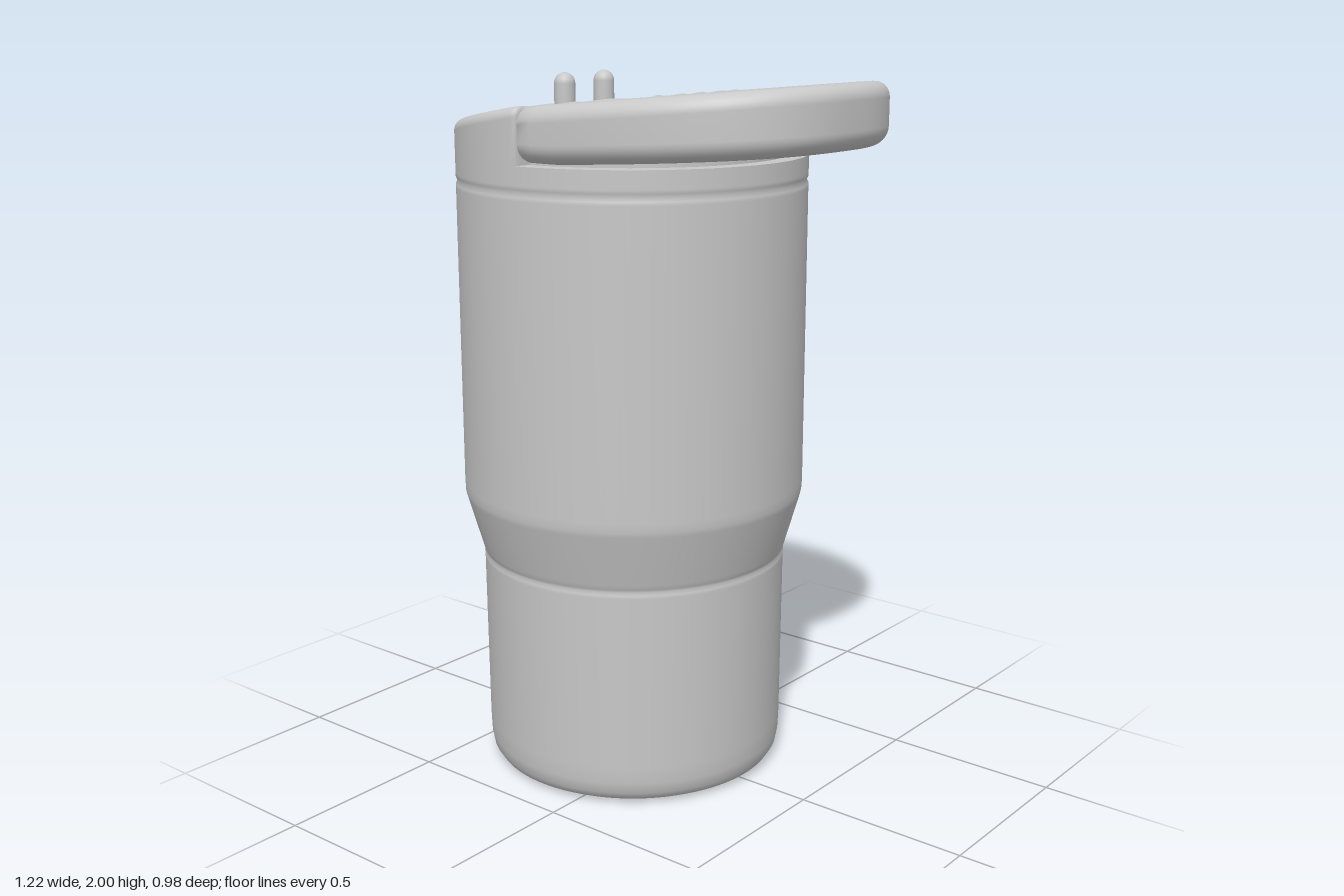
import * as THREE from 'three';

const AXIS = -0.12; // tumbler axis in x
const seamX = (z) => -0.07 - 0.03 * (z / 0.49) ** 2;
const smooth = THREE.MathUtils.smoothstep;

// Wood-like growth rings with a groove just inside the rim
function ripple(x, z, cx, cz, ox, rx, rz) {
  const rim = Math.hypot((x - ox) / rx, z / rz);
  const a = Math.atan2(z - cz, x - cx);
  const d = Math.hypot(x - cx, z - cz) + 0.008 * Math.sin(3 * a + 1) + 0.006 * Math.sin(5 * a);
  const groove = -0.008 * Math.exp(-(((rim - 0.87) / 0.025) ** 2));
  const fade = 1 - smooth(rim, 0.76, 0.86);
  return groove + fade * 0.004 * (Math.cos((d * Math.PI * 2) / 0.085) - 1);
}

// Cushion-like slab: outline loops from the underside centre, round the edge, to the top centre
function slab(outline, cx, { top, bottom, rTop, rBottom, recess = 0, openBottom = false }) {
  const n = outline.length, pos = [], idx = [];
  let loops = 0;
  const addLoop = (scale, inset, height) => {
    for (const [px, pz] of outline) {
      const dx = px - cx, len = Math.hypot(dx, pz);
      const k = Math.max(0, (1 - inset / len) * scale);
      const x = cx + dx * k, z = pz * k;
      pos.push(x, height(x, z), z);
    }
    loops++;
  };
  if (!openBottom) {
    for (let i = 0; i < 24; i++) {
      const s = Math.max(i / 24, 0.0005);
      addLoop(s, rBottom, (x, z) => bottom(x, z) + recess * (1 - smooth(s, 0.8, 0.92)));
    }
    for (let i = 0; i <= 8; i++) {
      const a = (i / 8) * Math.PI / 2;
      addLoop(1, rBottom * (1 - Math.sin(a)), (x, z) => bottom(x, z) + rBottom * (1 - Math.cos(a)));
    }
  } else {
    addLoop(1, 0, bottom);
  }
  for (let i = 0; i <= 8; i++) {
    const a = (i / 8) * Math.PI / 2;
    addLoop(1, rTop * (1 - Math.cos(a)), (x, z) => top(x, z) - rTop * (1 - Math.sin(a)));
  }
  for (let i = 59; i >= 0; i--) addLoop(Math.max(i / 60, 0.0005), rTop, top);
  for (let i = 0; i < loops - 1; i++) {
    for (let j = 0; j < n; j++) {
      const k = (j + 1) % n;
      const a = i * n + j, b = a + n, c = i * n + k, d = c + n;
      idx.push(a, b, c, c, b, d);
    }
  }
  const g = new THREE.BufferGeometry();
  g.setAttribute('position', new THREE.Float32BufferAttribute(pos, 3));
  g.setIndex(idx);
  g.computeVertexNormals();
  return g;
}

export function createModel() {
  const group = new THREE.Group();
  const grey = new THREE.MeshStandardMaterial({ color: 0xc8c8c8 });
  grey.name = 'light grey';
  const add = (name, geometry, x = 0, y = 0, z = 0) => {
    const m = new THREE.Mesh(geometry, grey);
    m.name = name;
    m.position.set(x, y, z);
    group.add(m);
    return m;
  };

  // Stepped body with a shallow foot recess and two fine grooves
  const profile = [
    [0, 0.02], [0.29, 0.02], [0.32, 0.016], [0.34, 0.003], [0.36, 0], [0.39, 0.004],
    [0.412, 0.016], [0.426, 0.038], [0.432, 0.07], [0.434, 0.12], [0.438, 0.62],
    [0.439, 0.63], [0.434, 0.638], [0.439, 0.647], [0.443, 0.66], [0.486, 0.81],
    [0.489, 0.825], [0.49, 0.85], [0.49, 1.69], [0.49, 1.7], [0.485, 1.71],
    [0.49, 1.72], [0.49, 1.73], [0.49, 1.78],
  ].map(([x, y]) => new THREE.Vector2(x, y));
  add('body', new THREE.LatheGeometry(profile, 96), AXIS);

  // Flat shoulder and inner plug below the lid
  add('shoulder', new THREE.CircleGeometry(0.49, 96).rotateX(-Math.PI / 2), AXIS, 1.78);
  add('lidPlug', new THREE.CylinderGeometry(0.44, 0.44, 0.06, 64), AXIS, 1.81);

  // Fixed lid half: arc of the body circle closed by the curved seam
  const fixed = [], flap = [];
  const start = Math.acos(0.02 / 0.49);
  for (let i = 0; i <= 96; i++) {
    const a = start + (i / 96) * (Math.PI * 2 - 2 * start);
    fixed.push([AXIS + 0.49 * Math.cos(a), 0.49 * Math.sin(a)]);
  }
  for (let i = 1; i < 48; i++) {
    const z = -0.49 + (i / 48) * 0.98;
    fixed.push([seamX(z) - 0.002, z]);
  }
  add('fixedLid', slab(fixed, -0.23, {
    top: (x, z) => 1.948 + 0.165 * x + ripple(x, z, -0.23, 0.03, AXIS, 0.49, 0.49),
    bottom: () => 1.78, rTop: 0.028, openBottom: true,
  }));

  // Overhanging flap: superelliptic outline closed by the same seam
  const x0 = -0.095;
  for (let i = 0; i <= 96; i++) {
    const a = -Math.PI / 2 + (i / 96) * Math.PI;
    const c = Math.max(0, Math.cos(a)), s = Math.sin(a);
    flap.push([x0 + 0.705 * c ** 0.8, 0.487 * Math.sign(s) * Math.abs(s) ** 0.8]);
  }
  for (let i = 1; i < 48; i++) {
    const z = 0.487 - (i / 48) * 0.974;
    flap.push([seamX(z) + 0.005, z]);
  }
  add('flapLid', slab(flap, 0.1, {
    top: (x, z) => 1.938 + 0.092 * x + ripple(x, z, 0.08, -0.01, -0.05, 0.66, 0.49),
    bottom: (x) => 1.786 + 0.06 * Math.max(0, x),
    rTop: 0.045, rBottom: 0.05, recess: 0.03,
  }));

  // Two round-topped pins on the fixed lid
  for (const [x, z] of [[-0.24, -0.02], [-0.222, 0.163]]) {
    add('pin', new THREE.CapsuleGeometry(0.029, 0.08, 8, 24), x, 1.931, z);
  }
  return group;
}
